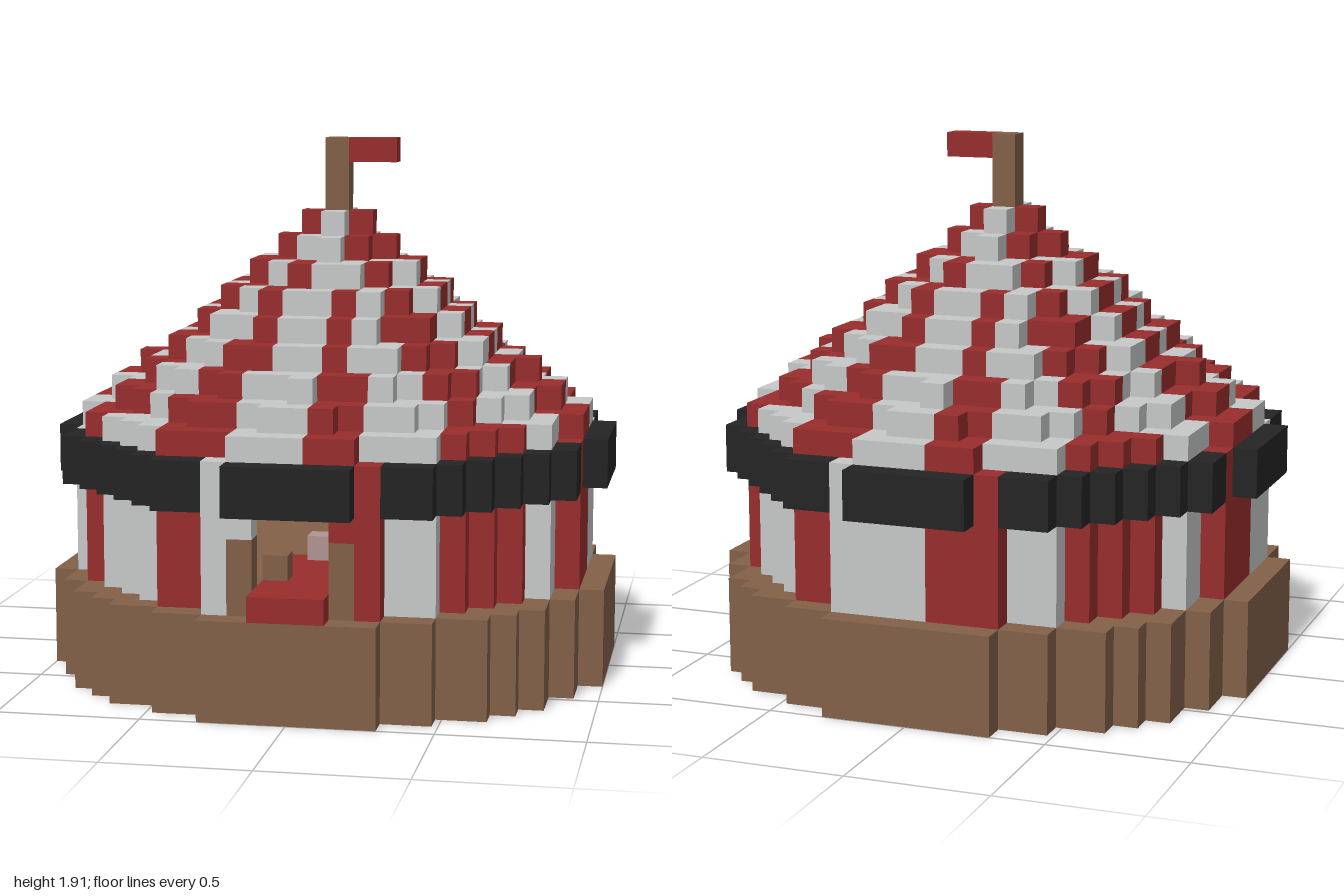
import * as THREE from 'three';
import { mergeGeometries } from 'three/addons/utils/BufferGeometryUtils.js';

const U = 2 / 23; // size of one block

const mat = (name, color) => {
  const m = new THREE.MeshStandardMaterial({ color });
  m.name = name;
  return m;
};

// Block-grid box: inclusive cell ranges in x and z, layers y0 up to y1 (exclusive)
function block(x0, x1, y0, y1, z0, z1) {
  const g = new THREE.BoxGeometry((x1 - x0 + 1) * U, (y1 - y0) * U, (z1 - z0 + 1) * U);
  return g.translate((x0 + x1) / 2 * U, (y0 + y1) / 2 * U, (z0 + z1) / 2 * U);
}

// Calls fn for every cell whose centre distance lies in (inner, outer]
function ring(inner, outer, fn) {
  for (let x = -11; x <= 11; x++)
    for (let z = -11; z <= 11; z++) {
      const d = Math.hypot(x, z);
      if (d <= outer + 1e-6 && d > inner) fn(x, z);
    }
}

// Twenty radial stripes of 18 degrees each
const isRed = (x, z) =>
  Math.abs(Math.floor(Math.atan2(z, x) / (Math.PI / 10) + 1e-6)) % 2 === 0;

export function createModel() {
  const red = mat('canvas red', 0x982d2d);
  const white = mat('canvas white', 0xc6c8c7);
  const wood = mat('wood brown', 0x826048);
  const black = mat('trim black', 0x242424);
  const pink = mat('pale pink', 0xb09494);

  const tent = new THREE.Group();
  tent.name = 'stripedTent';
  const add = (name, material, geometries) => {
    const mesh = new THREE.Mesh(mergeGeometries(geometries), material);
    mesh.name = name;
    tent.add(mesh);
  };

  // Round wooden base, one plank per row
  const planks = [];
  for (let z = -11; z <= 11; z++) {
    const h = Math.floor(Math.sqrt(11.5 ** 2 - z * z));
    planks.push(block(-h, h, 0, 4, z, z));
  }
  add('base', wood, planks);

  // Striped wall with a doorway at the front
  const wall = { red: [], white: [] };
  ring(9.5, 10.5, (x, z) => {
    let bottom = 4;
    if (z === 10 && Math.abs(x) <= 1) bottom = 8;
    if (z === 10 && Math.abs(x) === 2) bottom = 7;
    wall[isRed(x, z) ? 'red' : 'white'].push(block(x, x, bottom, 10, z, z));
  });
  add('wallRedStripes', red, wall.red);
  add('wallWhiteStripes', white, wall.white);

  // Dark valance around the eaves
  const trim = [];
  ring(10.5, 11.25, (x, z) => trim.push(block(x, x, 8, 10, z, z)));
  add('valance', black, trim);

  // Stepped striped roof, narrowing evenly to the pole
  const roof = { red: [], white: [] };
  const radius = k => 11.5 - k * 10.5 / 9;
  for (let k = 1; k <= 9; k++)
    ring(radius(k + 1) - 1.5, radius(k), (x, z) => {
      roof[isRed(x, z) ? 'red' : 'white'].push(block(x, x, 9 + k, 10 + k, z, z));
    });
  add('roofRedStripes', red, roof.red);
  add('roofWhiteStripes', white, roof.white);

  // Door posts, carpet and the blocks standing inside
  add('doorPosts', wood, [-2, 2].map(x => block(x, x, 4, 7, 10, 10)));
  add('carpet', red, [block(-1, 1, 4, 5, 4, 11)]);
  add('insideCrate', wood, [block(-1, -1, 5, 6, 8, 8)]);
  add('insidePinkBlock', pink, [block(0, 0, 5, 6, 4, 4)]);
  add('insideRedBlock', red, [block(1, 1, 5, 6, 4, 4)]);

  // Pole and flag
  add('pole', wood, [block(0, 0, 19, 22, 0, 0)]);
  add('flag', red, [block(1, 2, 21, 22, 0, 0)]);

  return tent;
}
